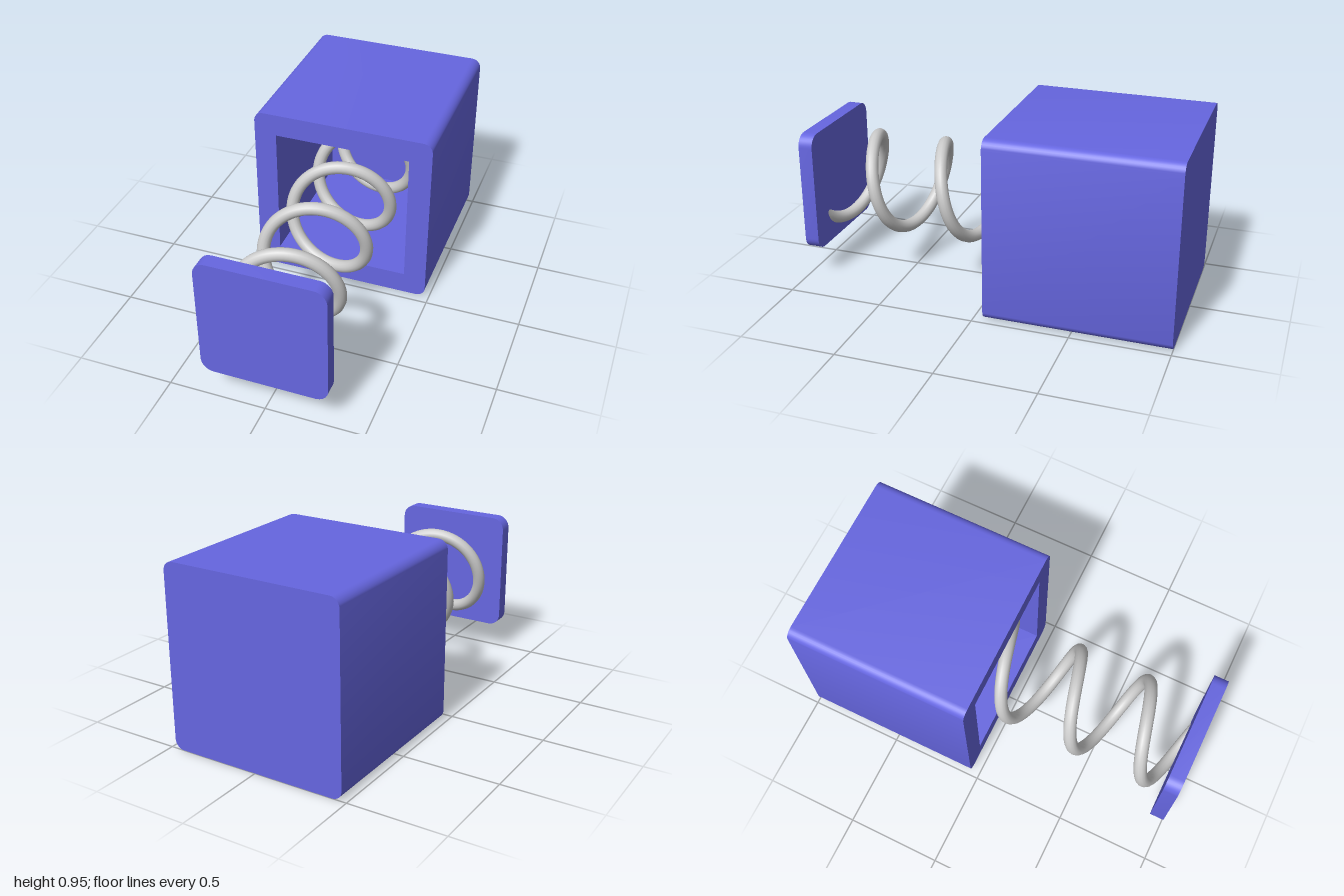
import * as THREE from 'three';
import { toCreasedNormals } from 'three/addons/utils/BufferGeometryUtils.js';

const CY = 0.475; // height of the common axis
const blue = new THREE.MeshStandardMaterial({ color: 0x6666e0 });
const blueInside = new THREE.MeshStandardMaterial({ color: 0x6666e0, side: THREE.BackSide });
const grey = new THREE.MeshStandardMaterial({ color: 0xcccccc });

// Square of half-size h with corners of radius r
function roundedSquare(h, r) {
  const s = new THREE.Shape();
  const c = h - r;
  s.absarc(c, c, r, 0, Math.PI / 2);
  s.absarc(-c, c, r, Math.PI / 2, Math.PI);
  s.absarc(-c, -c, r, Math.PI, Math.PI * 1.5);
  s.absarc(c, -c, r, Math.PI * 1.5, Math.PI * 2);
  s.closePath();
  return s;
}

function slab(h, r, z0, z1) {
  const g = new THREE.ExtrudeGeometry(roundedSquare(h, r), { depth: z1 - z0, bevelEnabled: false, curveSegments: 4 });
  return toCreasedNormals(g.translate(0, CY, z0), 0.7);
}

// Drops the triangles that lie flat on the plane at z
function withoutCap(geometry, z) {
  const p = geometry.attributes.position;
  const keep = [];
  for (let i = 0; i < p.count; i += 3) {
    const onCap = [0, 1, 2].every((k) => Math.abs(p.getZ(i + k) - z) < 1e-4);
    if (!onCap) keep.push(i, i + 1, i + 2);
  }
  geometry.clearGroups();
  geometry.setIndex(keep);
  return geometry;
}

// Helix about the z axis
class Helix extends THREE.Curve {
  getPoint(t, target = new THREE.Vector3()) {
    const z = -0.94 + 1.9 * t;
    const a = ((z - 0.615) / 0.383) * Math.PI * 2;
    return target.set(0.237 * Math.cos(a), CY + 0.237 * Math.sin(a), z);
  }
}

export function createModel() {
  const model = new THREE.Group();
  const add = (parent, name, geometry, material) => {
    const mesh = new THREE.Mesh(geometry, material);
    mesh.name = name;
    parent.add(mesh);
  };

  // Hollow housing, open at the front
  const front = -0.05, back = -1, wall = 0.12, hole = 0.357;
  const housing = new THREE.Group();
  housing.name = 'housing';
  model.add(housing);
  add(housing, 'housingShell', withoutCap(slab(0.475, 0.05, back, front), front), blue);

  const rim = roundedSquare(0.475, 0.05);
  rim.holes.push(new THREE.Path([[-1, -1], [-1, 1], [1, 1], [1, -1]].map(([x, y]) => new THREE.Vector2(x * hole, y * hole))));
  add(housing, 'housingRim', new THREE.ShapeGeometry(rim, 4).translate(0, CY, front), blue);

  // Inner walls: a box seen from inside, without its front face
  const depth = front - back - wall;
  const cavity = new THREE.BoxGeometry(hole * 2, hole * 2, depth).translate(0, CY, front - depth / 2);
  const index = Array.from(cavity.index.array);
  index.splice(24, 6);
  cavity.clearGroups();
  cavity.setIndex(index);
  add(housing, 'housingCavity', cavity, blueInside);

  // Coil spring from the back wall to the plate
  add(model, 'spring', new THREE.TubeGeometry(new Helix(), 320, 0.033, 14), grey);

  // Plate on the free end of the spring
  add(model, 'frontPlate', slab(0.32, 0.065, 0.925, 1), blue);

  return model;
}
